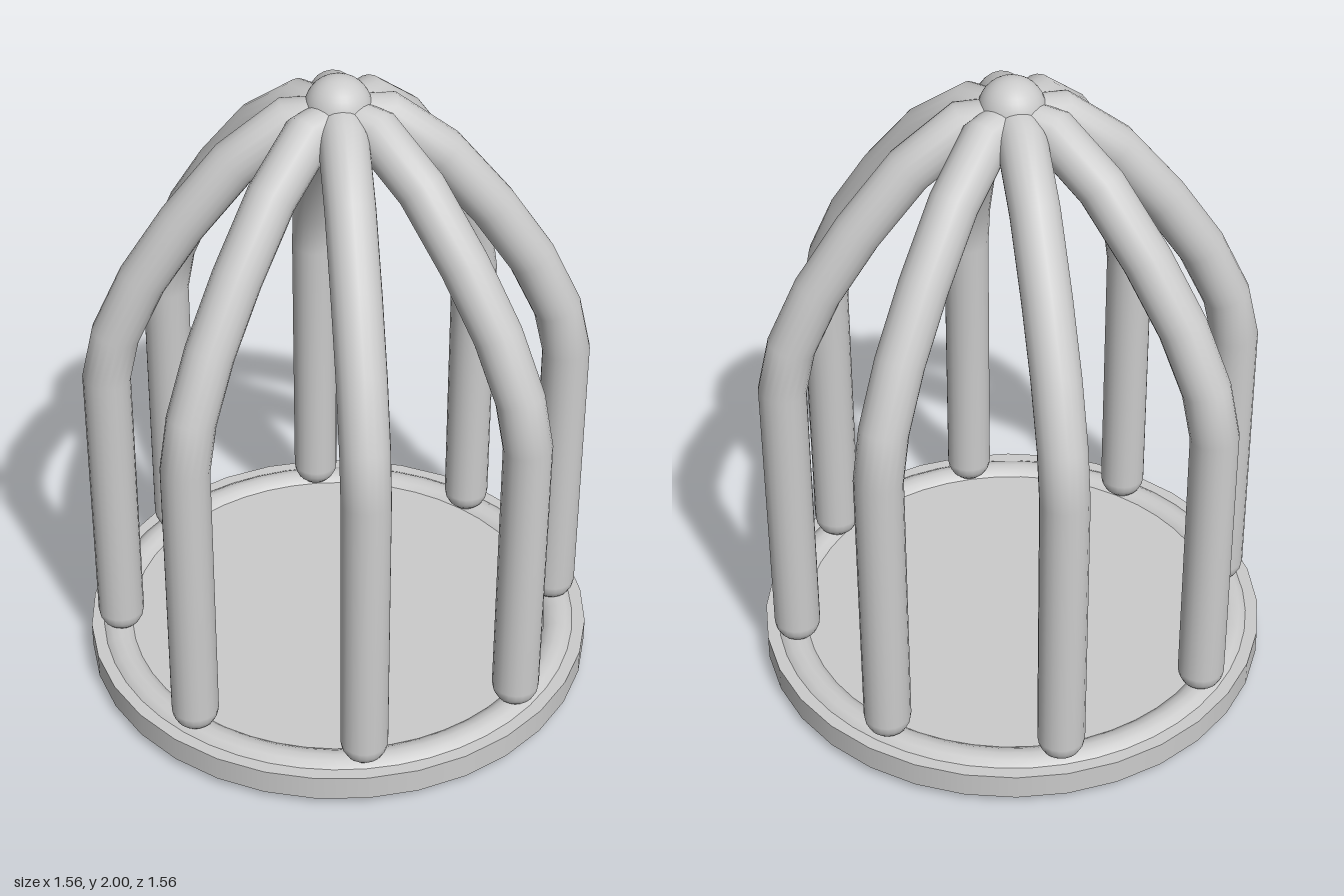
import * as THREE from 'three';

const material = new THREE.MeshStandardMaterial({ color: 0xcccccc, side: THREE.DoubleSide });
const BAR_R = 0.071;
const SIDES = 20;

// Sweeps a round section along a path in the xy plane; stations are [x, y, radius], mitred at bends
function sweepBar(stations) {
  const positions = [], index = [];
  const points = stations.map(([x, y]) => new THREE.Vector2(x, y));
  const last = points.length - 1;
  points.forEach((p, i) => {
    const before = p.clone().sub(points[Math.max(i - 1, 0)]).normalize();
    const after = points[Math.min(i + 1, last)].clone().sub(p).normalize();
    const t = before.clone().add(after).normalize();
    const miter = 1 / Math.max(t.dot(i < last ? after : before), 0.5);
    const r = stations[i][2];
    for (let j = 0; j < SIDES; j++) {
      const a = (j / SIDES) * Math.PI * 2;
      const out = Math.cos(a) * r * miter;
      positions.push(p.x + t.y * out, p.y - t.x * out, Math.sin(a) * r);
      if (i < last) {
        const k = (j + 1) % SIDES;
        const A = i * SIDES + j, B = A + SIDES, C = i * SIDES + k, D = C + SIDES;
        index.push(A, B, C, B, D, C);
      }
    }
  });
  const geometry = new THREE.BufferGeometry();
  geometry.setAttribute('position', new THREE.Float32BufferAttribute(positions, 3));
  geometry.setIndex(index);
  geometry.computeVertexNormals();
  return geometry;
}

export function createModel() {
  const model = new THREE.Group();
  const add = (name, geometry, y = 0) => {
    const mesh = new THREE.Mesh(geometry, material);
    mesh.name = name;
    mesh.position.y = y;
    model.add(mesh);
    return mesh;
  };

  // Base plate with a rounded ring set into its rim
  add('basePlate', new THREE.CylinderGeometry(0.782, 0.782, 0.08, 32), 0.065);
  add('baseRing', new THREE.TorusGeometry(0.698, 0.062, 16, 48).rotateX(Math.PI / 2), 0.062);

  // Bar profile: rounded foot, straight shaft, then a pointed arch to the axis
  const profile = [];
  for (let i = 0; i <= 5; i++) {
    const a = (i / 5) * Math.PI / 2;
    profile.push([0.686, 0.172 - BAR_R * Math.cos(a), Math.max(BAR_R * Math.sin(a), 0.0005)]);
  }
  const arch = [
    [0.686, 1.05], [0.652, 1.2], [0.567, 1.38], [0.445, 1.563],
    [0.294, 1.748], [0.14, 1.866], [0, 1.867],
  ];
  arch.forEach(([x, y]) => profile.push([x, y, BAR_R]));
  const barGeometry = sweepBar(profile);

  // Eight bars around the cage
  for (let i = 0; i < 8; i++) {
    add('cageBar' + (i + 1), barGeometry).rotation.y = (i * Math.PI) / 4;
  }

  // Knob where the bars meet
  add('topKnob', new THREE.SphereGeometry(0.096, 32, 20), 1.904);

  return model;
}
